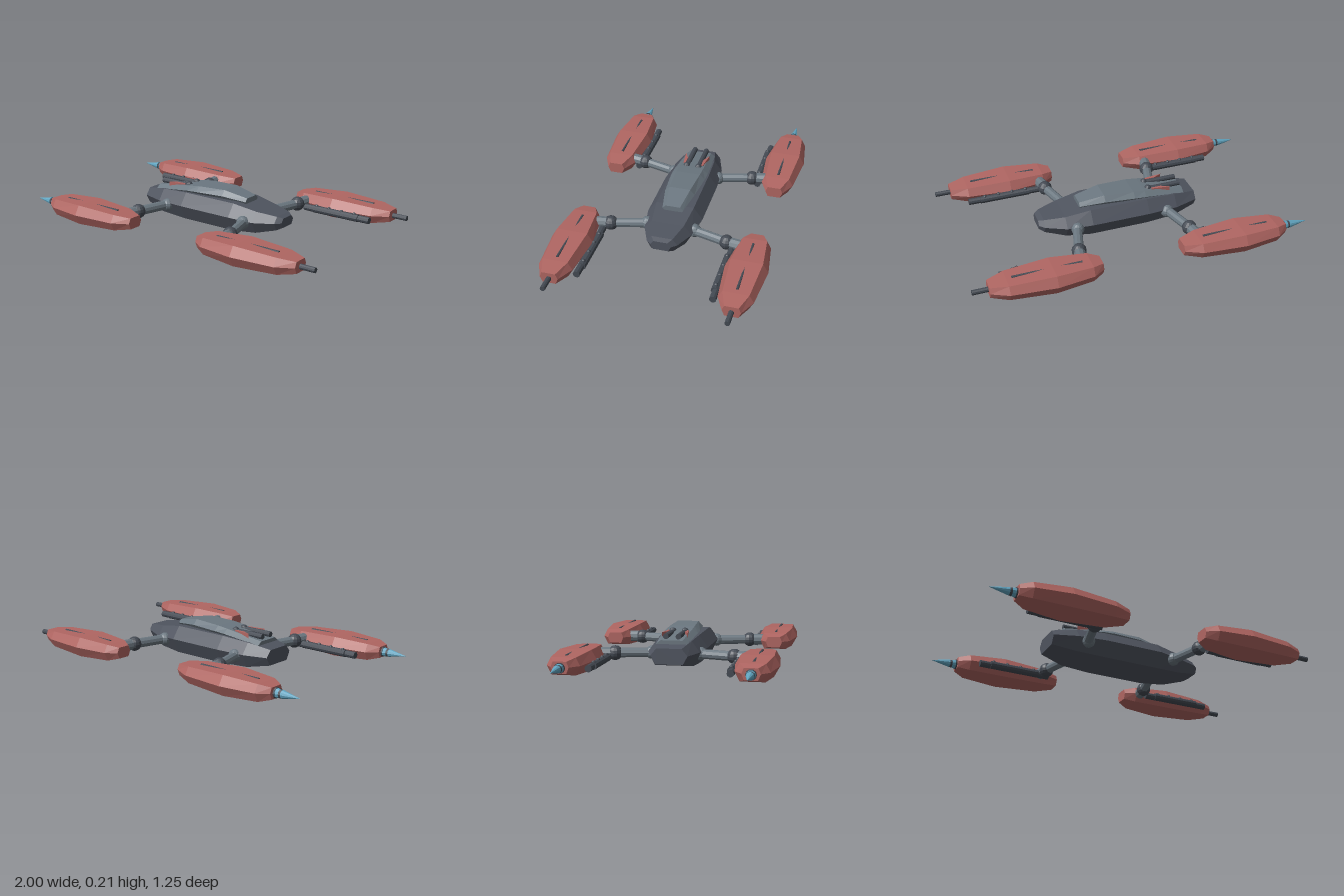
import * as THREE from 'three';

const mat = (name, color) => Object.assign(new THREE.MeshStandardMaterial({ color, flatShading: true }), { name });

// Six-sided body lofted along x from [x, halfWidth, bottomY, topY] stations.
function loft(stations, topRatio, bottomRatio, midHeight) {
  const profile = [[-topRatio, 1], [topRatio, 1], [1, midHeight], [bottomRatio, 0], [-bottomRatio, 0], [-1, midHeight]];
  const rings = stations.map(([x, w, y0, y1]) =>
    profile.map(([z, t]) => new THREE.Vector3(x, y0 + (y1 - y0) * t, z * w)));
  const points = [];
  const n = profile.length;
  for (let i = 0; i < rings.length - 1; i++) {
    for (let j = 0; j < n; j++) {
      const k = (j + 1) % n;
      const a = rings[i][j], b = rings[i][k], c = rings[i + 1][j], d = rings[i + 1][k];
      points.push(a, b, c, b, d, c);
    }
  }
  const first = rings[0], last = rings[rings.length - 1];
  for (let j = 1; j < n - 1; j++) {
    points.push(first[0], first[j + 1], first[j], last[0], last[j], last[j + 1]);
  }
  const geometry = new THREE.BufferGeometry().setFromPoints(points);
  geometry.computeVertexNormals();
  return geometry;
}

function add(parent, name, geometry, material, x = 0, y = 0, z = 0) {
  const mesh = new THREE.Mesh(geometry, material);
  mesh.name = name;
  mesh.position.set(x, y, z);
  parent.add(mesh);
  return mesh;
}

// Cylinder or cone between two points, r0 at the start and r1 at the end.
function rod(parent, name, material, from, to, r0, r1 = r0, sides = 10) {
  const a = new THREE.Vector3(...from), b = new THREE.Vector3(...to);
  const dir = b.clone().sub(a);
  const mesh = add(parent, name, new THREE.CylinderGeometry(r1, r0, dir.length(), sides), material);
  mesh.position.copy(a).add(b).multiplyScalar(0.5);
  mesh.quaternion.setFromUnitVectors(new THREE.Vector3(0, 1, 0), dir.normalize());
  return mesh;
}

export function createModel() {
  const red = mat('red armour', 0xb06662);
  const hullGrey = mat('hull grey', 0x4f545f);
  const lightGrey = mat('light grey', 0x6b7780);
  const darkGrey = mat('dark grey', 0x444a53);
  const blue = mat('blue tip', 0x62a6c2);

  const model = new THREE.Group();
  model.name = 'ship';

  // Central hull and raised deck
  add(model, 'hull', loft([
    [-0.47, 0.105, 0.04, 0.13], [-0.33, 0.15, 0.012, 0.155], [-0.15, 0.165, 0.005, 0.165],
    [0.2, 0.165, 0.005, 0.165], [0.35, 0.14, 0.015, 0.14], [0.47, 0.09, 0.045, 0.125], [0.5, 0.06, 0.06, 0.115],
  ], 0.68, 0.74, 0.55), hullGrey);
  add(model, 'deck', loft([
    [-0.395, 0.09, 0.12, 0.165], [-0.15, 0.105, 0.145, 0.2], [-0.08, 0.105, 0.145, 0.208],
    [0.1, 0.09, 0.145, 0.215], [0.25, 0.062, 0.145, 0.187],
  ], 0.7, 0.7, 0.55), lightGrey);

  // Twin guns on a red mount
  const turret = new THREE.Group();
  turret.name = 'turret';
  model.add(turret);
  for (const s of [-1, 1]) {
    rod(turret, 'gunBarrel', darkGrey, [-0.385, 0.186, s * 0.036], [-0.185, 0.186, s * 0.036], 0.016);
    add(turret, 'gunBase', new THREE.SphereGeometry(0.021, 10, 8), darkGrey, -0.185, 0.19, s * 0.036);
    const plate = new THREE.Shape([[-0.31, 0.075], [-0.2, 0.062], [-0.2, 0.05], [-0.26, 0.05]]
      .map(([x, z]) => new THREE.Vector2(x, z)));
    const mount = add(turret, 'redMount',
      new THREE.ExtrudeGeometry(plate, { depth: 0.03, bevelEnabled: false }), red, 0, s > 0 ? 0.198 : 0.168, 0);
    mount.rotation.x = s * Math.PI / 2;
  }

  // Four armoured pods, built on the +z side and turned by side sign s
  for (const s of [-1, 1]) {
    for (const front of [false, true]) {
      const pod = new THREE.Group();
      pod.name = front ? 'gunPod' : 'spikePod';
      pod.position.set(front ? 0.595 : -0.525, 0, s * 0.505);
      model.add(pod);
      add(pod, 'podArmour', loft([
        [-0.325, 0.05, 0.04, 0.105], [-0.26, 0.093, 0.022, 0.118], [-0.045, 0.122, 0.012, 0.127],
        [0.215, 0.098, 0.022, 0.116], [0.315, 0.052, 0.04, 0.105],
      ], 0.74, 0.72, 0.53), red);
      rod(pod, 'topRail', darkGrey, [-0.215, 0.117, 0], [0.185, 0.117, 0], 0.008, 0.008, 8);

      // Underslung tube on the inner side
      const z = -s * 0.122;
      rod(pod, 'sideTube', darkGrey, [-0.215, 0.052, z], [0.225, 0.052, z], 0.02);
      rod(pod, 'tubeSleeve', darkGrey, [-0.15, 0.054, z - s * 0.006], [0.155, 0.054, z - s * 0.006], 0.022);
      for (let i = 0; i < 4; i++) {
        add(pod, 'tubeStud', new THREE.SphereGeometry(0.012, 8, 6), darkGrey, -0.13 + i * 0.085, 0.072, z - s * 0.006);
      }

      // Pod tip
      if (front) {
        rod(pod, 'podBarrel', darkGrey, [0.3, 0.07, 0], [0.405, 0.07, 0], 0.015);
      } else {
        rod(pod, 'tipCollar', darkGrey, [-0.305, 0.07, 0], [-0.333, 0.07, 0], 0.033, 0.029);
        rod(pod, 'tipBase', blue, [-0.333, 0.07, 0], [-0.355, 0.07, 0], 0.026, 0.022);
        rod(pod, 'tipRing', darkGrey, [-0.353, 0.07, 0], [-0.368, 0.07, 0], 0.024, 0.021);
        rod(pod, 'tipSpike', blue, [-0.366, 0.07, 0], [-0.475, 0.07, 0], 0.023, 0.001);
      }

      // Jointed arm from hull to pod
      const arm = new THREE.Group();
      arm.name = 'arm';
      model.add(arm);
      const root = front ? 0.29 : -0.268, elbow = front ? 0.348 : -0.326, end = front ? 0.362 : -0.342;
      add(arm, 'shoulder', new THREE.SphereGeometry(0.039, 12, 8), lightGrey, root, 0.075, s * 0.142);
      rod(arm, 'upperArm', lightGrey, [root, 0.075, s * 0.13], [elbow, 0.075, s * 0.345], 0.028);
      add(arm, 'elbow', new THREE.SphereGeometry(0.043, 12, 8), darkGrey, elbow, 0.075, s * 0.345);
      rod(arm, 'lowerArm', lightGrey, [elbow, 0.075, s * 0.345], [end, 0.075, s * 0.43], 0.034);
    }
  }
  return model;
}
